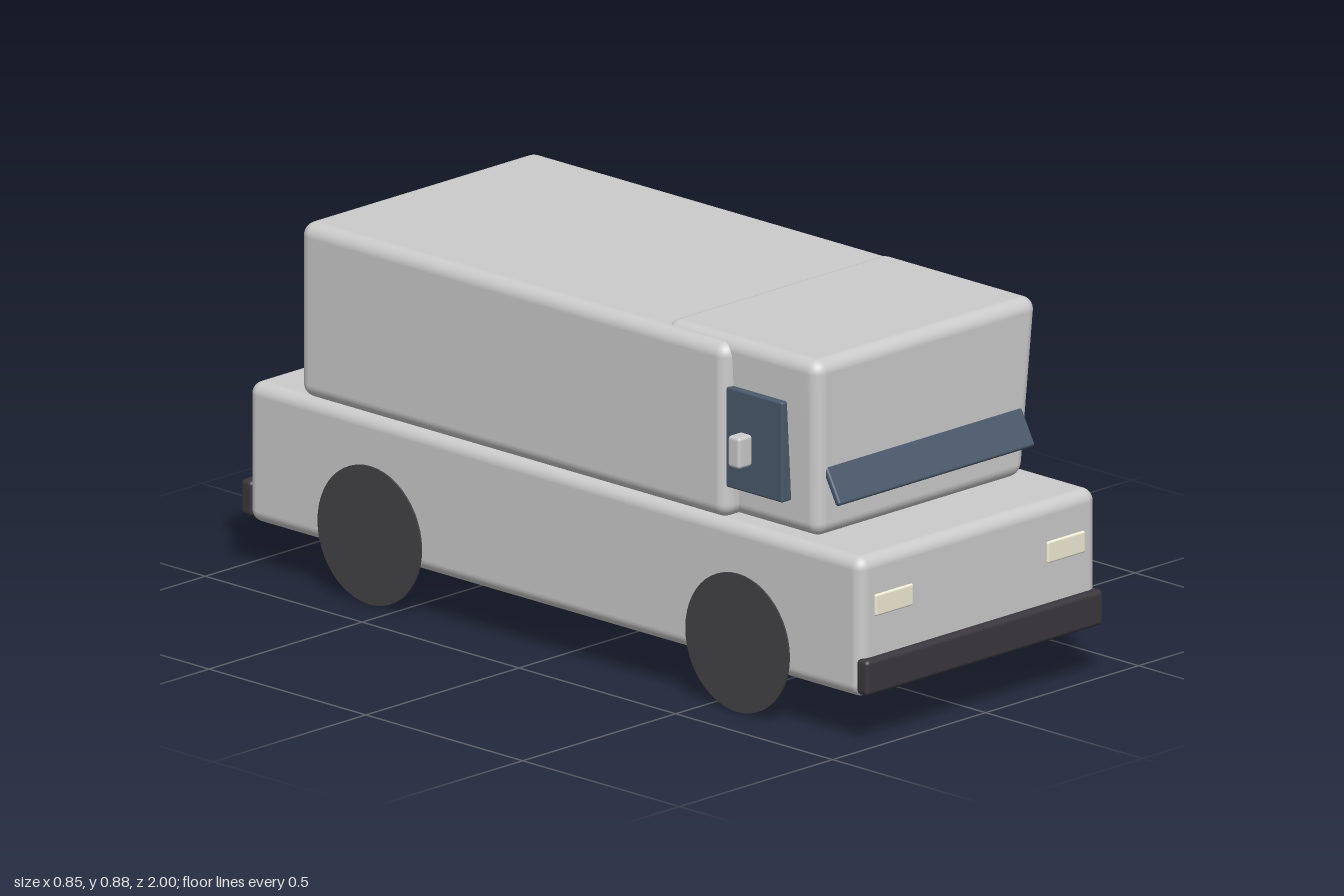
import * as THREE from 'three';
import { RoundedBoxGeometry } from 'three/addons/geometries/RoundedBoxGeometry.js';

const paint = (color) => new THREE.MeshStandardMaterial({ color });
const bodyMat = new THREE.MeshStandardMaterial({ color: 0xcccccc });
const darkMat = paint(0x3a383e);
const tyreMat = paint(0x444348);
const glassMat = paint(0x4a5a6c);
const lampMat = paint(0xf2ecd4);
const tailMat = paint(0xc4202c);

// Rounded box spanning the given [min, max] ranges
function block(name, mat, [x0, x1], [y0, y1], [z0, z1], radius) {
  const geo = new RoundedBoxGeometry(x1 - x0, y1 - y0, z1 - z0, 4, radius);
  const mesh = new THREE.Mesh(geo, mat);
  mesh.name = name;
  mesh.position.set((x0 + x1) / 2, (y0 + y1) / 2, (z0 + z1) / 2);
  return mesh;
}

// Narrows a geometry linearly towards its bottom
function taper(geo, height, bottomX, bottomZ) {
  const p = geo.attributes.position;
  for (let i = 0; i < p.count; i++) {
    const t = p.getY(i) / height + 0.5;
    p.setX(i, p.getX(i) * THREE.MathUtils.lerp(bottomX, 1, t));
    p.setZ(i, p.getZ(i) * THREE.MathUtils.lerp(bottomZ, 1, t));
  }
}

// Same range on the other side of the centre
const mirror = ([a, b], side) => (side > 0 ? [a, b] : [-b, -a]);

export function createModel() {
  const van = new THREE.Group();
  van.name = 'van';

  // Chassis body and cargo box
  van.add(block('lowerBody', bodyMat, [-0.388, 0.388], [0.112, 0.447], [-0.977, 0.98], 0.03));
  van.add(block('cargoBox', bodyMat, [-0.385, 0.385], [0.445, 0.863], [-0.817, 0.546], 0.033));

  // Cab, narrower at the bottom
  const cab = block('cab', bodyMat, [-0.364, 0.364], [0.445, 0.875], [0.323, 0.818], 0.033);
  taper(cab.geometry, 0.43, 0.93, 0.91);
  van.add(cab);

  // Slanted windscreen panel
  const screen = new THREE.Mesh(new RoundedBoxGeometry(0.64, 0.13, 0.016, 3, 0.006), glassMat);
  screen.name = 'windscreen';
  screen.position.set(0, 0.588, 0.81);
  screen.rotation.x = -0.5;
  van.add(screen);

  for (const side of [1, -1]) {
    const label = side > 0 ? 'left' : 'right';

    // Side window and door mirror
    van.add(block(label + 'Window', glassMat, mirror([0.34, 0.373], side), [0.522, 0.762], [0.525, 0.715], 0.005));
    van.add(block(label + 'Mirror', bodyMat, mirror([0.378, 0.423], side), [0.593, 0.668], [0.589, 0.627], 0.008));

    // Head and tail lamps
    const lampX = mirror([0.219, 0.343], side);
    van.add(block(label + 'Headlight', lampMat, lampX, [0.303, 0.355], [0.96, 0.985], 0.005));
    van.add(block(label + 'Taillight', tailMat, lampX, [0.303, 0.355], [-0.985, -0.96], 0.005));

    // Thin disc wheels
    for (const [end, z] of [['Front', 0.59], ['Rear', -0.583]]) {
      const wheel = new THREE.Mesh(new THREE.CylinderGeometry(0.165, 0.165, 0.004, 48), tyreMat);
      wheel.name = label + end + 'Wheel';
      wheel.rotation.z = Math.PI / 2;
      wheel.position.set(side * 0.39, 0.165, z);
      van.add(wheel);
    }
  }

  // Bumpers
  for (const [name, range] of [['frontBumper', [0.963, 1]], ['rearBumper', [-1, -0.963]]]) {
    van.add(block(name, darkMat, [-0.387, 0.387], [0.123, 0.208], range, 0.011));
  }

  return van;
}
